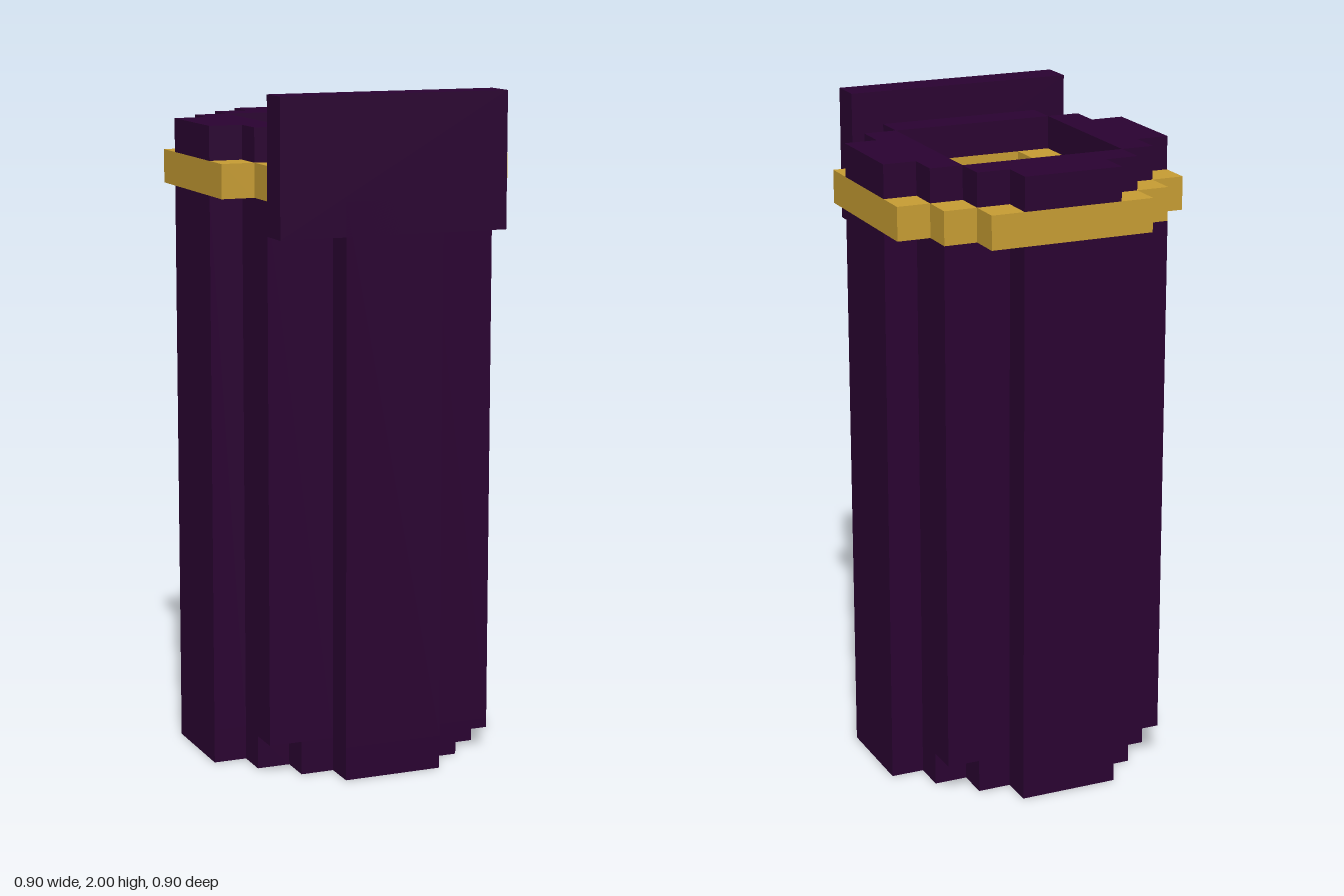
import * as THREE from 'three';

const purple = new THREE.MeshStandardMaterial({ color: 0x2a0231 });
purple.name = 'dark purple';
const gold = new THREE.MeshStandardMaterial({ color: 0xc69c33 });
gold.name = 'gold';

// Mirror the +x half of an outline, given as [x, z] from back to front, into a counterclockwise loop
const mirrorX = half => [...half.map(([x, z]) => [-x, z]), ...half.slice().reverse()]
  .map(([x, z]) => new THREE.Vector2(x, -z));

// Half outlines of the stepped ring
const side = [[0.35, -0.25], [0.35, -0.15], [0.45, -0.15], [0.45, 0.15], [0.35, 0.15], [0.35, 0.25]];
const slimBack = [[0.15, -0.45], [0.15, -0.35], [0.25, -0.35], [0.25, -0.25], ...side, [0.25, 0.25], [0.25, 0.35]];
const slimFull = [...slimBack, [0.15, 0.35], [0.15, 0.45]];
const body = [[0.15, -0.45], [0.15, -0.35], [0.35, -0.35], [0.35, -0.15], [0.45, -0.15],
  [0.45, 0.15], [0.35, 0.15], [0.35, 0.35], [0.15, 0.35], [0.15, 0.45]];
const band = [[0.25, -0.45], [0.25, -0.35], [0.35, -0.35], [0.35, -0.25], [0.45, -0.25],
  [0.45, 0.25], [0.35, 0.25], [0.35, 0.35]];

// Half outlines of the hole: plain square, or with posts in its corners
const squareHole = [[0.25, -0.25], [0.25, 0.25]];
const postHole = [[0.15, -0.25], [0.15, -0.15], [0.25, -0.15], [0.25, 0.15], [0.15, 0.15], [0.15, 0.25]];

function layer(name, outline, hole, y0, y1, material) {
  const shape = new THREE.Shape(mirrorX(outline));
  shape.holes.push(new THREE.Path(mirrorX(hole)));
  const geometry = new THREE.ExtrudeGeometry(shape, { depth: y1 - y0, bevelEnabled: false });
  geometry.rotateX(-Math.PI / 2);
  const mesh = new THREE.Mesh(geometry, material);
  mesh.name = name;
  mesh.position.y = y0;
  return mesh;
}

export function createModel() {
  const group = new THREE.Group();
  group.name = 'hollowPillar';

  // Open tube, stacked from the ground up
  group.add(layer('baseRing', slimFull, squareHole, 0, 0.1, purple));
  group.add(layer('tubeWall', body, postHole, 0.1, 1.7, purple));
  group.add(layer('goldBand', band, postHole, 1.7, 1.8, gold));
  group.add(layer('topRim', slimBack, squareHole, 1.8, 1.9, purple));

  // Raised plate at the front
  const plate = new THREE.Mesh(new THREE.BoxGeometry(0.7, 0.4, 0.1), purple);
  plate.name = 'frontPlate';
  plate.position.set(0, 1.8, 0.4);
  group.add(plate);

  return group;
}
